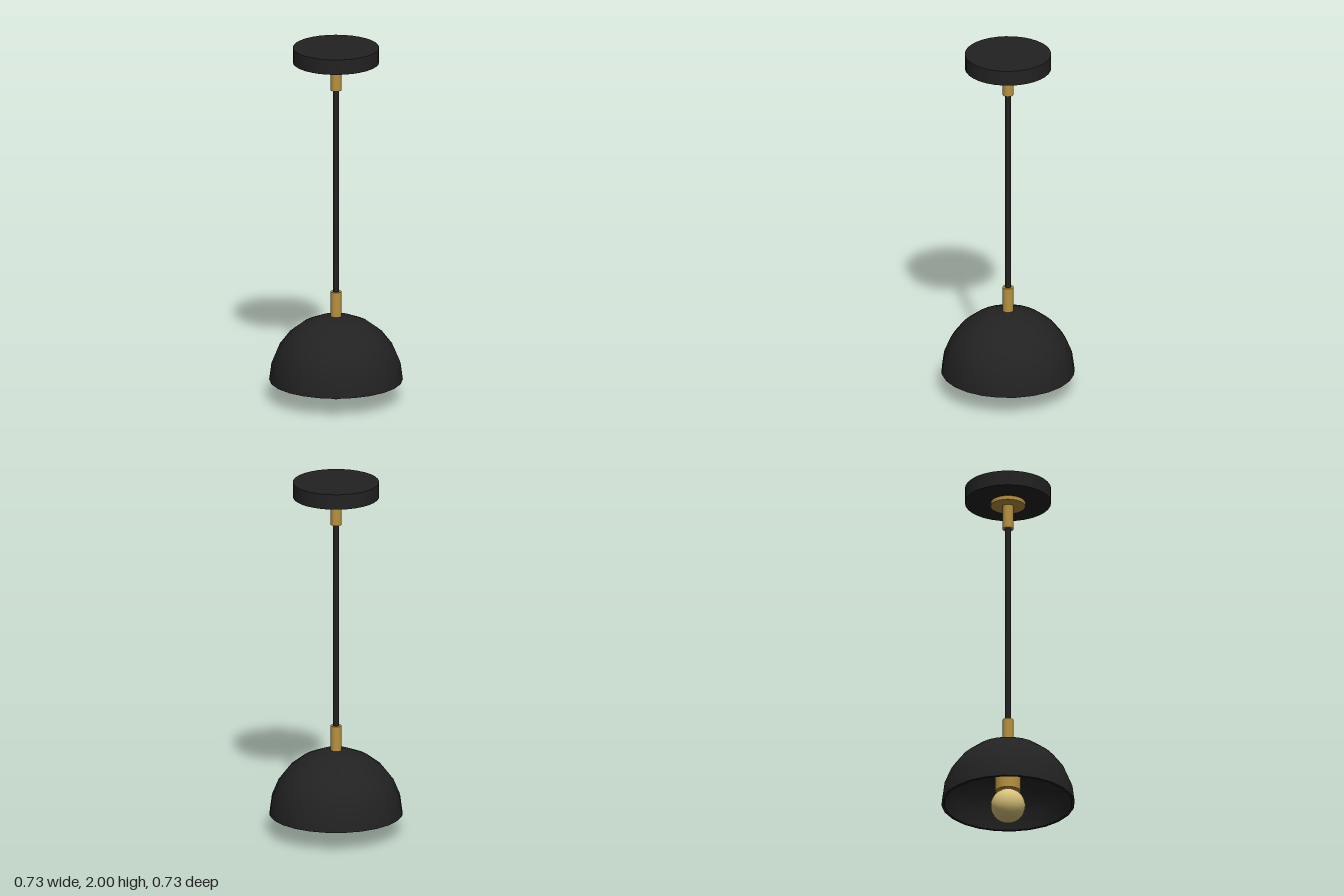
import * as THREE from 'three';

export function createModel() {
  const lamp = new THREE.Group();
  lamp.name = 'pendantLamp';

  const mat = (name, color) => {
    const m = new THREE.MeshStandardMaterial({ color });
    m.name = name;
    return m;
  };
  const black = mat('matteBlack', 0x222222);
  const brass = mat('brass', 0xb8923f);
  const glow = mat('warmGlass', 0xdcc47c);

  const add = (name, geometry, material, y = 0) => {
    const mesh = new THREE.Mesh(geometry, material);
    mesh.name = name;
    mesh.position.y = y;
    lamp.add(mesh);
    return mesh;
  };
  // Upright cylinder between two heights
  const post = (name, r, y0, y1, material, sides = 16) =>
    add(name, new THREE.CylinderGeometry(r, r, y1 - y0, sides), material, (y0 + y1) / 2);

  // Ceiling mount and hanging rod
  post('ceilingCanopy', 0.235, 1.915, 2, black, 32);
  post('canopyFlange', 0.095, 1.893, 1.915, brass, 24);
  post('upperFerrule', 0.03, 1.757, 1.893, brass);
  post('rod', 0.017, 0.6, 1.77, black, 12);
  post('lowerFerrule', 0.03, 0.455, 0.61, brass);

  // Dome shade: outer skin, flat rim and inner skin
  const rimY = 0.11, outer = 0.364, inner = 0.348, steps = 6;
  const arc = (r, up) => Array.from({ length: steps + 1 }, (_, i) => {
    const a = ((up ? i : steps - i) / steps) * Math.PI / 2;
    return new THREE.Vector2(Math.max(0, r * Math.cos(a)), r * Math.sin(a));
  });
  const lathe = (points) => new THREE.LatheGeometry(points, 24);
  add('shadeOuter', lathe(arc(outer, true)), black, rimY);
  add('shadeInner', lathe(arc(inner, false)), black, rimY);
  add('shadeRim', lathe([new THREE.Vector2(inner, 0), new THREE.Vector2(outer, 0)]), black, rimY);

  // Bulb and its holder under the dome
  post('bulbSocket', 0.07, 0.18, 0.445, brass, 20);
  add('bulb', new THREE.SphereGeometry(0.095, 24, 16), glow, 0.095);

  return lamp;
}
